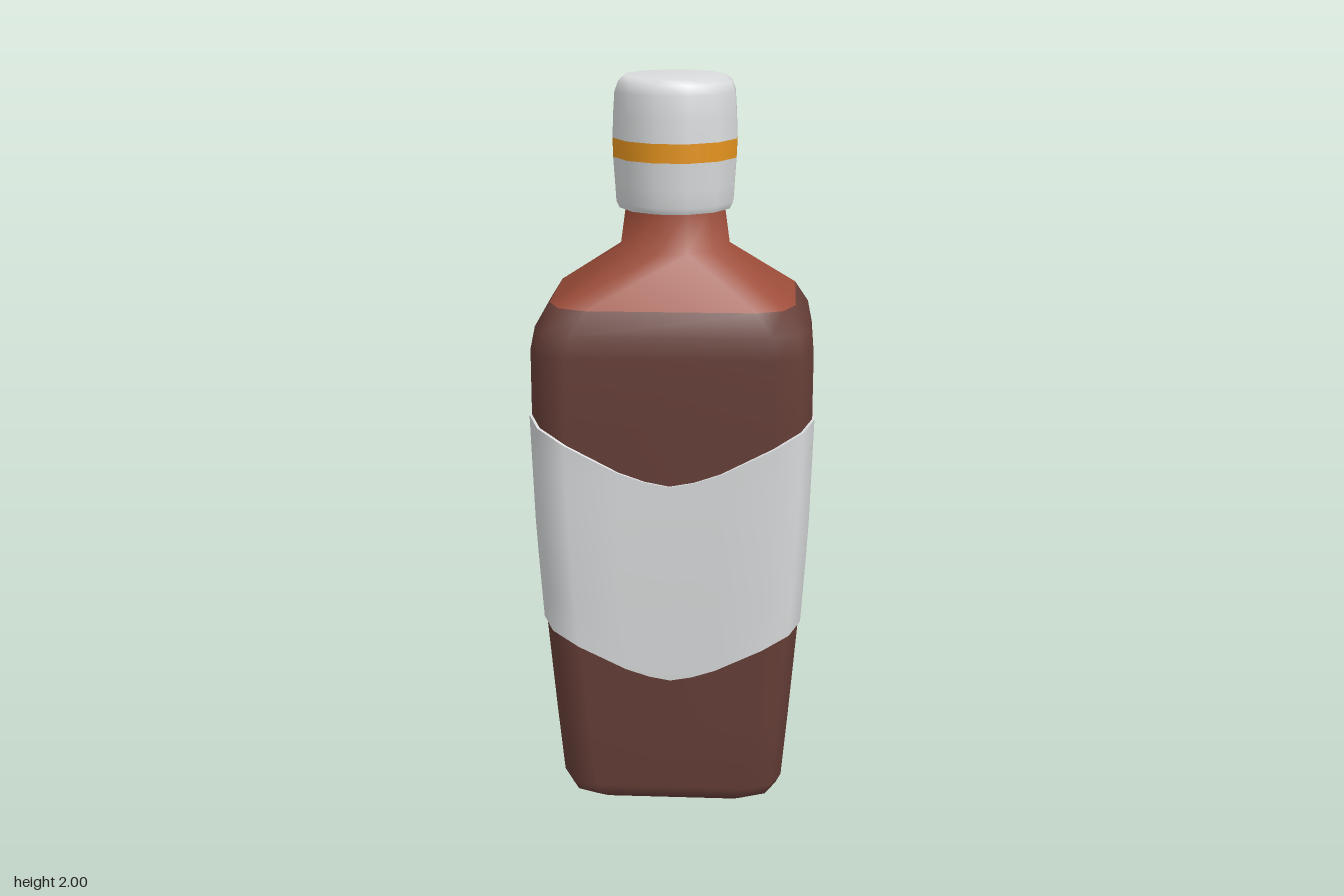
import * as THREE from 'three';

// Bottle levels: y, half width, half depth, corner cut, corner inset ratio
const LEVELS = [
  [0, 0.272, 0.2, 0.095, 0.3],
  [0.015, 0.294, 0.222, 0.1, 0.3],
  [0.05, 0.308, 0.238, 0.1, 0.3],
  [0.25, 0.325, 0.252, 0.1, 0.3],
  [0.54, 0.348, 0.267, 0.1, 0.3],
  [0.8, 0.364, 0.277, 0.1, 0.3],
  [1.12, 0.374, 0.284, 0.1, 0.29],
  [1.3, 0.374, 0.284, 0.1, 0.29],
  [1.36, 0.362, 0.276, 0.1, 0.29],
  [1.42, 0.325, 0.252, 0.103, 0.3],
  [1.55, 0.145, 0.145, 0.106, 0.366],
  [1.66, 0.13, 0.13, 0.095, 0.366],
];
const SHOULDER = 9; // level where the amber glass begins

// Piecewise linear lookup in rows sorted by their first entry
function lookup(rows, key) {
  let i = 0;
  while (i < rows.length - 2 && key > rows[i + 1][0]) i++;
  const t = THREE.MathUtils.clamp((key - rows[i][0]) / (rows[i + 1][0] - rows[i][0]), 0, 1);
  return rows[i].map((v, k) => v + (rows[i + 1][k] - v) * t);
}

// Twelve-sided rounded rectangle at height y, pushed outwards by off
function section(y, off = 0) {
  const [, w, d, c, k] = lookup(LEVELS, y);
  const a = w + off, b = d + off;
  const corner = [[a, b - c], [a - c * k, b - c * k], [a - c, b]];
  const back = [...corner].reverse();
  return [
    ...corner,
    ...back.map(([x, z]) => [-x, z]),
    ...corner.map(([x, z]) => [-x, -z]),
    ...back.map(([x, z]) => [x, -z]),
  ].map(([x, z]) => new THREE.Vector3(x, y, z));
}

// Point at a fractional position around the section
function around(u, y, off) {
  const ring = section(y, off);
  const i = Math.floor(u);
  return ring[i].clone().lerp(ring[(i + 1) % 12], u - i);
}

// Skin closed rings of points into one smooth surface
function loft(rings, closeBottom = false) {
  const n = rings[0].length;
  const points = rings.flat();
  const index = [];
  for (let r = 0; r < rings.length - 1; r++) {
    for (let i = 0; i < n; i++) {
      const a = r * n + i, b = r * n + (i + 1) % n;
      index.push(a, a + n, b, b, a + n, b + n);
    }
  }
  if (closeBottom) {
    points.push(new THREE.Vector3(0, rings[0][0].y, 0));
    for (let i = 0; i < n; i++) index.push(points.length - 1, i, (i + 1) % n);
  }
  const geometry = new THREE.BufferGeometry().setFromPoints(points);
  geometry.setIndex(index);
  geometry.computeVertexNormals();
  return geometry;
}

export function createModel() {
  const model = new THREE.Group();
  const material = (name, color, side = THREE.FrontSide) => {
    const m = new THREE.MeshStandardMaterial({ color, side });
    m.name = name;
    return m;
  };
  const brown = material('dark brown glass', 0x673f38);
  const amber = material('amber glass', 0x9e4e3a);
  const white = material('off white', 0xdadcdd, THREE.DoubleSide);
  const gold = material('gold', 0xe8961f);
  const add = (name, geometry, mat) => {
    const mesh = new THREE.Mesh(geometry, mat);
    mesh.name = name;
    model.add(mesh);
  };

  // Bottle: filled lower part, clear shoulder and neck
  const bottle = loft(LEVELS.map(([y]) => section(y)), true);
  const perRow = 12 * 6;
  const rows = LEVELS.length - 1;
  bottle.addGroup(0, SHOULDER * perRow, 0);
  bottle.addGroup(SHOULDER * perRow, (rows - SHOULDER) * perRow, 1);
  bottle.addGroup(rows * perRow, 12 * 3, 0);
  add('bottle', bottle, [brown, amber]);

  // Wraparound label, dipping in the middle of the front and back
  const columns = [0, 1, 2, 2.25, 2.38, 2.5, 2.62, 2.75, 3, 4, 5, 6, 7, 8, 8.25, 8.38, 8.5, 8.62, 8.75, 9, 10, 11];
  const DIP = [[0, 0.165], [0.07, 0.152], [0.14, 0.127], [0.2, 0.095], [0.275, 0.055], [0.35, 0.014], [0.374, 0]];
  const labelRing = (t, off) => columns.map((u) => {
    const dip = lookup(DIP, Math.abs(around(u, 1.12, 0).x))[1];
    const y = THREE.MathUtils.lerp(0.535 - dip * 0.88, 1.12 - dip, t);
    return around(u, y, off);
  });
  const steps = [0, 1, 2, 3, 4, 5, 6].map((i) => i / 6);
  const thickness = 0.006;
  add('label', loft(steps.map((t) => labelRing(t, thickness))), white);
  add('labelTopEdge', loft([labelRing(1, thickness), labelRing(1, 0)]), white);
  add('labelBottomEdge', loft([labelRing(0, 0), labelRing(0, thickness)]), white);

  // Cap in three turned pieces with a gold band
  const turn = (profile) => new THREE.LatheGeometry(
    profile.map(([r, y]) => new THREE.Vector2(r, y)), 12, Math.PI / 12);
  add('capUnderside', turn([[0.1, 1.655], [0.152, 1.655]]), white);
  add('capSkirt', turn([[0.152, 1.655], [0.16, 1.672], [0.163, 1.72], [0.168, 1.79]]), white);
  add('capBand', turn([[0.168, 1.79], [0.169, 1.84]]), gold);
  add('capTop', turn([[0.169, 1.84], [0.167, 1.9], [0.163, 1.96], [0.154, 1.985], [0.135, 2], [0, 2]]), white);

  return model;
}
